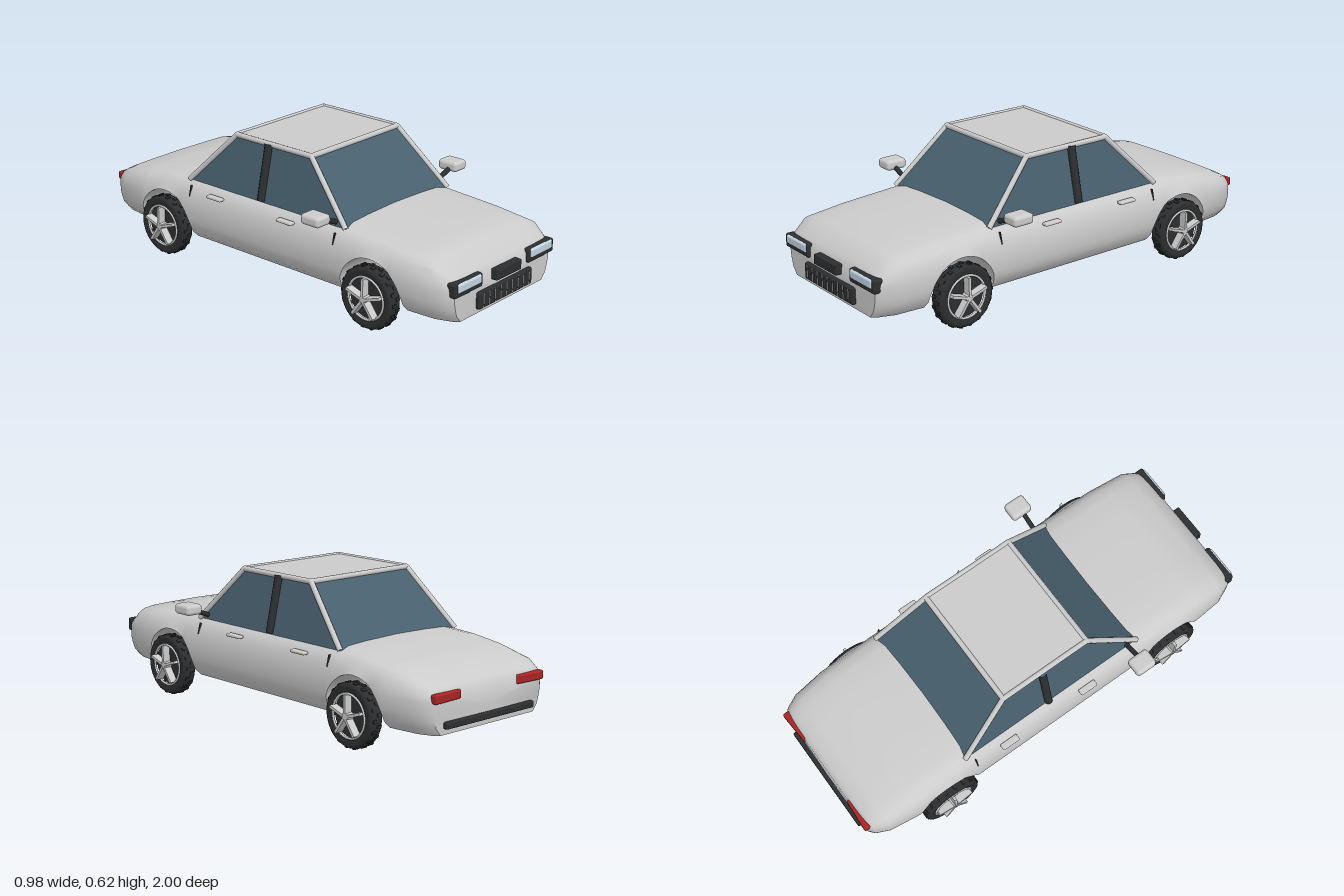
import * as THREE from 'three';
import { toCreasedNormals } from 'three/addons/utils/BufferGeometryUtils.js';
import { RoundedBoxGeometry } from 'three/addons/geometries/RoundedBoxGeometry.js';

const mat = (color, side = THREE.FrontSide) => new THREE.MeshStandardMaterial({ color, side });
const grey = mat(0xcccccc);
const dark = mat(0x2c2e30);
const glass = mat(0x48606e, THREE.DoubleSide);
const lens = mat(0xc4d4e2);
const red = mat(0xa82424);

const AXLES = [0.59, -0.605];
const ARCH_R = 0.16, ARCH_Y = 0.14, FLOOR = 0.11;

function add(parent, name, geometry, material, x = 0, y = 0, z = 0) {
  const mesh = new THREE.Mesh(geometry, material);
  mesh.name = name;
  mesh.position.set(x, y, z);
  parent.add(mesh);
  return mesh;
}
const rounded = (w, h, d, r) => new RoundedBoxGeometry(w, h, d, 3, r);

// Straight rod between two points
function rod(parent, name, a, b, radius, material) {
  const path = new THREE.LineCurve3(new THREE.Vector3(...a), new THREE.Vector3(...b));
  return add(parent, name, new THREE.TubeGeometry(path, 1, radius, 10), material);
}

// Linear lookup of column k in rows sorted by their first value
function lookup(rows, v, k) {
  if (v <= rows[0][0]) return rows[0][k];
  for (let i = 1; i < rows.length; i++) {
    const a = rows[i - 1], b = rows[i];
    if (v <= b[0]) return THREE.MathUtils.lerp(a[k], b[k], (v - a[0]) / (b[0] - a[0]));
  }
  return rows[rows.length - 1][k];
}

// Hull outline: z, half width, top height
const HULL = [
  [-0.98, 0.31, 0.275], [-0.96, 0.335, 0.3], [-0.9, 0.363, 0.33], [-0.75, 0.383, 0.362],
  [-0.6, 0.386, 0.382], [-0.45, 0.386, 0.39], [0, 0.386, 0.392], [0.4, 0.386, 0.39],
  [0.7, 0.385, 0.37], [0.88, 0.37, 0.355], [0.95, 0.34, 0.3], [0.97, 0.318, 0.27],
];
// Lower side of the section: height, fraction of half width
const SILL = [[0.11, 0.87], [0.14, 0.95], [0.17, 0.98], [0.2, 1], [0.25, 1], [0.32, 0.965]];
// Upper side: fraction of the height above 0.25, fraction of half width
const SHOULDER = [[0.25, 0.99], [0.48, 0.965], [0.72, 0.925], [0.87, 0.85], [0.95, 0.72], [0.98, 0.45], [1, 0]];

function section(z, floor) {
  const w = lookup(HULL, z, 1), top = lookup(HULL, z, 2);
  const half = [[0, floor], [w * lookup(SILL, floor, 1) * 0.85, floor]];
  for (const [y] of SILL.slice(0, 5)) {
    const yy = Math.max(y, floor);
    half.push([w * lookup(SILL, yy, 1), yy]);
  }
  for (const [u, f] of SHOULDER) half.push([w * f, Math.max(0.25 + (top - 0.25) * u, floor)]);
  const mirrored = half.slice(1, -1).reverse().map(([x, y]) => [-x, y]);
  return [...half, ...mirrored].map(([x, y]) => [x, y, z]);
}

function bodyGeometry() {
  const stations = HULL.map(([z]) => [z, FLOOR])
    .filter(([z]) => AXLES.every((c) => Math.abs(z - c) > ARCH_R));
  // Wheel arches run right across the hull
  for (const c of AXLES) {
    stations.push([c - ARCH_R - 1e-5, FLOOR], [c + ARCH_R + 1e-5, FLOOR]);
    for (let i = 0; i <= 20; i++) {
      const a = (i / 20) * Math.PI;
      stations.push([c - ARCH_R * Math.cos(a), ARCH_Y + ARCH_R * Math.sin(a)]);
    }
  }
  stations.sort((a, b) => a[0] - b[0]);
  const rings = stations.map(([z, f]) => section(z, f));
  const n = rings[0].length, pos = rings.flat(2), index = [];
  for (let i = 0; i < rings.length - 1; i++) {
    for (let j = 0; j < n; j++) {
      const a = i * n + j, b = i * n + ((j + 1) % n);
      index.push(a, b, a + n, b, b + n, a + n);
    }
  }
  // End caps
  const last = (rings.length - 1) * n, back = rings.length * n, front = back + 1;
  pos.push(0, 0.19, HULL[0][0] - 0.005, 0, 0.19, HULL[HULL.length - 1][0] + 0.005);
  for (let j = 0; j < n; j++) {
    const k = (j + 1) % n;
    index.push(back, k, j, front, last + j, last + k);
  }
  const g = new THREE.BufferGeometry();
  g.setAttribute('position', new THREE.Float32BufferAttribute(pos, 3));
  g.setIndex(index);
  return toCreasedNormals(g, 0.7);
}

function panel(parent, name, corners, material) {
  const g = new THREE.BufferGeometry();
  g.setAttribute('position', new THREE.Float32BufferAttribute(corners.flat(), 3));
  g.setIndex([0, 1, 2, 0, 2, 3]);
  g.computeVertexNormals();
  add(parent, name, g, material);
}

function cabin() {
  const g = new THREE.Group();
  g.name = 'cabin';
  const base = [[0.335, 0.37, 0.425], [0.335, 0.37, -0.485], [-0.335, 0.37, -0.485], [-0.335, 0.37, 0.425]];
  const roof = [[0.277, 0.613, 0.185], [0.277, 0.613, -0.245], [-0.277, 0.613, -0.245], [-0.277, 0.613, 0.185]];
  const names = ['leftWindows', 'rearWindow', 'rightWindows', 'windscreen'];
  for (let i = 0; i < 4; i++) {
    const k = (i + 1) % 4;
    panel(g, names[i], [base[i], base[k], roof[k], roof[i]], glass);
    rod(g, 'pillar', base[i], roof[i], 0.012, grey);
    rod(g, 'roofRail', roof[i], roof[k], 0.012, grey);
    add(g, 'roofCorner', new THREE.SphereGeometry(0.012, 10, 8), grey, ...roof[i]);
  }
  add(g, 'roofPanel', new THREE.BoxGeometry(0.554, 0.012, 0.43), grey, 0, 0.613, -0.03);
  for (const s of [1, -1]) rod(g, 'centrePillar', [s * 0.336, 0.375, -0.05], [s * 0.284, 0.615, -0.05], 0.018, dark);
  return g;
}

function wheel() {
  const g = new THREE.Group();
  g.name = 'wheel';
  const profile = [[0.088, -0.026], [0.115, -0.034], [0.128, -0.03], [0.134, -0.02],
    [0.134, 0.02], [0.128, 0.03], [0.115, 0.034], [0.088, 0.026]];
  const turn = (mesh) => { mesh.rotation.z = -Math.PI / 2; return mesh; };
  turn(add(g, 'tyre', new THREE.LatheGeometry(profile.map((p) => new THREE.Vector2(...p)), 40), dark));
  turn(add(g, 'wheelDish', new THREE.CylinderGeometry(0.09, 0.09, 0.036, 32), dark));
  turn(add(g, 'innerHub', new THREE.CylinderGeometry(0.085, 0.085, 0.02, 32), grey, -0.014));
  add(g, 'rim', new THREE.TorusGeometry(0.091, 0.005, 8, 40), grey, 0.029).rotation.y = Math.PI / 2;
  turn(add(g, 'hubCap', new THREE.CylinderGeometry(0.016, 0.018, 0.035, 16), grey, 0.035));
  for (let i = 0; i < 5; i++) {
    const spoke = new THREE.BoxGeometry(0.036, 0.08, 0.012).translate(0.036, 0.05, 0);
    add(g, 'spoke', spoke, grey).rotation.x = (i / 5) * Math.PI * 2;
  }
  // Tread blocks alternate between the two shoulders
  for (let i = 0; i < 36; i++) {
    const block = new THREE.BoxGeometry(0.022, 0.006, 0.014).translate(i % 2 ? 0.011 : -0.011, 0.134, 0);
    add(g, 'treadBlock', block, dark).rotation.x = (i / 36) * Math.PI * 2;
  }
  return g;
}

export function createModel() {
  const car = new THREE.Group();
  car.name = 'car';
  add(car, 'body', bodyGeometry(), grey);
  car.add(cabin());

  for (const s of [1, -1]) {
    for (const z of AXLES) {
      const w = wheel();
      w.position.set(s * 0.373, 0.137, z);
      if (s < 0) w.rotation.y = Math.PI;
      car.add(w);
    }
    // Lights
    add(car, 'headlightFrame', rounded(0.18, 0.06, 0.045, 0.01), dark, s * 0.244, 0.255, 0.962);
    add(car, 'headlight', rounded(0.153, 0.038, 0.03, 0.008), lens, s * 0.242, 0.264, 0.975);
    add(car, 'tailLight', rounded(0.152, 0.038, 0.03, 0.008), red, s * 0.24, 0.26, -0.977).rotation.y = s * 0.06;
    // Door mirrors and handles
    add(car, 'mirror', rounded(0.082, 0.046, 0.1, 0.016), grey, s * 0.449, 0.433, 0.362);
    rod(car, 'mirrorArm', [s * 0.335, 0.39, 0.37], [s * 0.425, 0.425, 0.37], 0.011, dark);
    for (const z of [0.13, -0.285]) {
      add(car, 'doorHandle', rounded(0.03, 0.014, 0.085, 0.006), grey, s * 0.38, 0.34, z);
    }
    // Door seams
    for (const z of [0.39, -0.45]) {
      add(car, 'doorSeam', new THREE.BoxGeometry(0.01, 0.05, 0.004), dark, s * 0.368, 0.33, z).rotation.z = s * 0.25;
    }
  }

  // Front plate and slatted grille
  add(car, 'frontPlate', rounded(0.165, 0.044, 0.035, 0.004), dark, 0, 0.251, 0.983);
  add(car, 'grille', rounded(0.36, 0.074, 0.03, 0.01), dark, 0, 0.167, 0.975);
  for (let i = -4; i <= 4; i++) {
    add(car, 'grilleSlat', new THREE.BoxGeometry(0.003, 0.062, 0.006), grey, i * 0.0385, 0.167, 0.989);
  }
  add(car, 'rearBumper', rounded(0.51, 0.028, 0.03, 0.006), dark, 0, 0.148, -0.985);
  return car;
}
